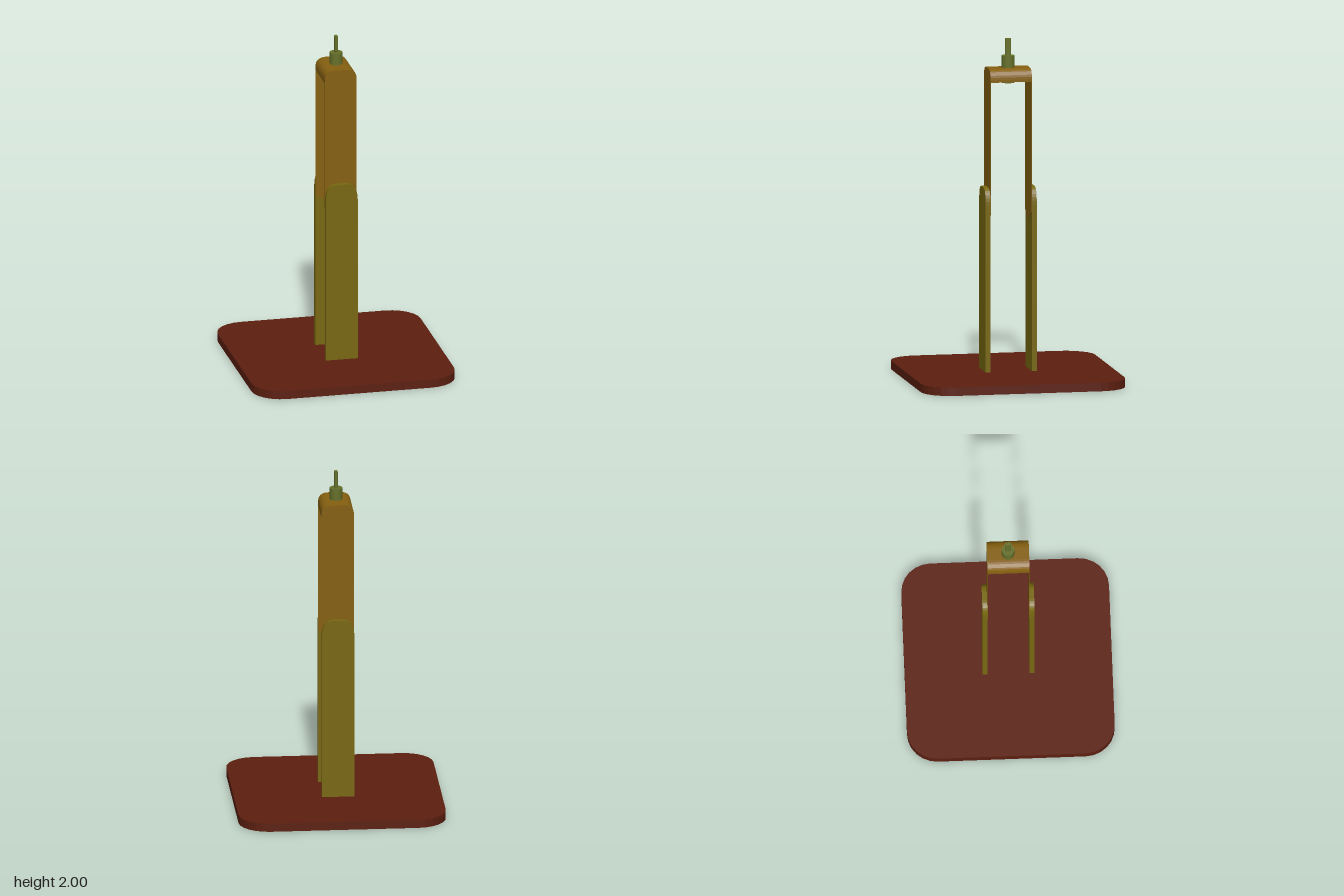
import * as THREE from 'three';

const W = 0.095; // half width of the uprights
const paint = (color) => new THREE.MeshStandardMaterial({ color, side: THREE.DoubleSide, flatShading: true });

function add(group, name, geometry, material, x = 0, y = 0, z = 0) {
  const mesh = new THREE.Mesh(geometry, material);
  mesh.name = name;
  mesh.position.set(x, y, z);
  group.add(mesh);
  return mesh;
}

const extrude = (shape, depth, curveSegments = 8) =>
  new THREE.ExtrudeGeometry(shape, { depth, bevelEnabled: false, curveSegments });

// Rectangle with four rounded corners, centred on the origin
function roundedRect(hw, hh, r) {
  const s = new THREE.Shape();
  s.absarc(hw - r, hh - r, r, 0, Math.PI / 2);
  s.absarc(-hw + r, hh - r, r, Math.PI / 2, Math.PI);
  s.absarc(-hw + r, -hh + r, r, Math.PI, Math.PI * 1.5);
  s.absarc(hw - r, -hh + r, r, Math.PI * 1.5, Math.PI * 2);
  s.closePath();
  return s;
}

// Upright outline: softly rounded top, flat or bowed lower end
function uprightShape(y0, y1, rx, ry, bow = 0) {
  const s = new THREE.Shape();
  s.moveTo(-W, y0 + bow);
  s.quadraticCurveTo(0, y0 - bow, W, y0 + bow);
  s.lineTo(W, y1 - ry);
  s.quadraticCurveTo(W, y1, W - rx, y1);
  s.lineTo(-W + rx, y1);
  s.quadraticCurveTo(-W, y1, -W, y1 - ry);
  s.closePath();
  return s;
}

// Open folded strip running over the top, with short flanks on both sides
function capShape(y0, y1, rx, ry, t) {
  const s = new THREE.Shape();
  s.moveTo(W, y0);
  s.lineTo(W, y1 - ry);
  s.quadraticCurveTo(W, y1, W - rx, y1);
  s.lineTo(-W + rx, y1);
  s.quadraticCurveTo(-W, y1, -W, y1 - ry);
  s.lineTo(-W, y0);
  s.lineTo(-W + t, y0);
  s.lineTo(-W + t, y1 - ry);
  s.quadraticCurveTo(-W + t, y1 - t, -W + rx, y1 - t);
  s.lineTo(W - rx, y1 - t);
  s.quadraticCurveTo(W - t, y1 - t, W - t, y1 - ry);
  s.lineTo(W - t, y0);
  s.closePath();
  return s;
}

export function createModel() {
  const group = new THREE.Group();
  const red = paint(0x5c1f10);
  const olive = paint(0x786810);
  const amber = paint(0x856010);
  const green = paint(0x66702a);

  // Square base with faceted corners
  const base = extrude(roundedRect(0.605, 0.605, 0.175), 0.05, 3);
  base.rotateX(-Math.PI / 2);
  add(group, 'base', base, red);

  // Lower legs and the thin upper plates, front and back
  const leg = extrude(uprightShape(0.05, 1.13, 0.065, 0.1), 0.03);
  leg.translate(0, 0, -0.015);
  const plate = extrude(uprightShape(0.94, 1.83, 0.06, 0.06, 0.045), 0.004);
  plate.translate(0, 0, -0.002);
  for (const [label, side] of [['front', 1], ['back', -1]]) {
    add(group, label + 'Leg', leg, olive, 0, 0, side * 0.137);
    add(group, label + 'Plate', plate, amber, 0, 0, side * 0.121);
  }

  // Folded cap joining the upper plates
  const cap = extrude(capShape(1.755, 1.83, 0.06, 0.06, 0.005), 0.24);
  add(group, 'cap', cap, amber, 0, 0, -0.12);

  // Collar through the cap, and the flat pin on top
  add(group, 'collar', new THREE.CylinderGeometry(0.037, 0.037, 0.16, 24), green, 0, 1.82, 0);
  const pin = extrude(roundedRect(0.01, 0.018, 0.008), 0.1, 3);
  pin.rotateX(-Math.PI / 2);
  add(group, 'pin', pin, green, 0, 1.9, 0);

  return group;
}
